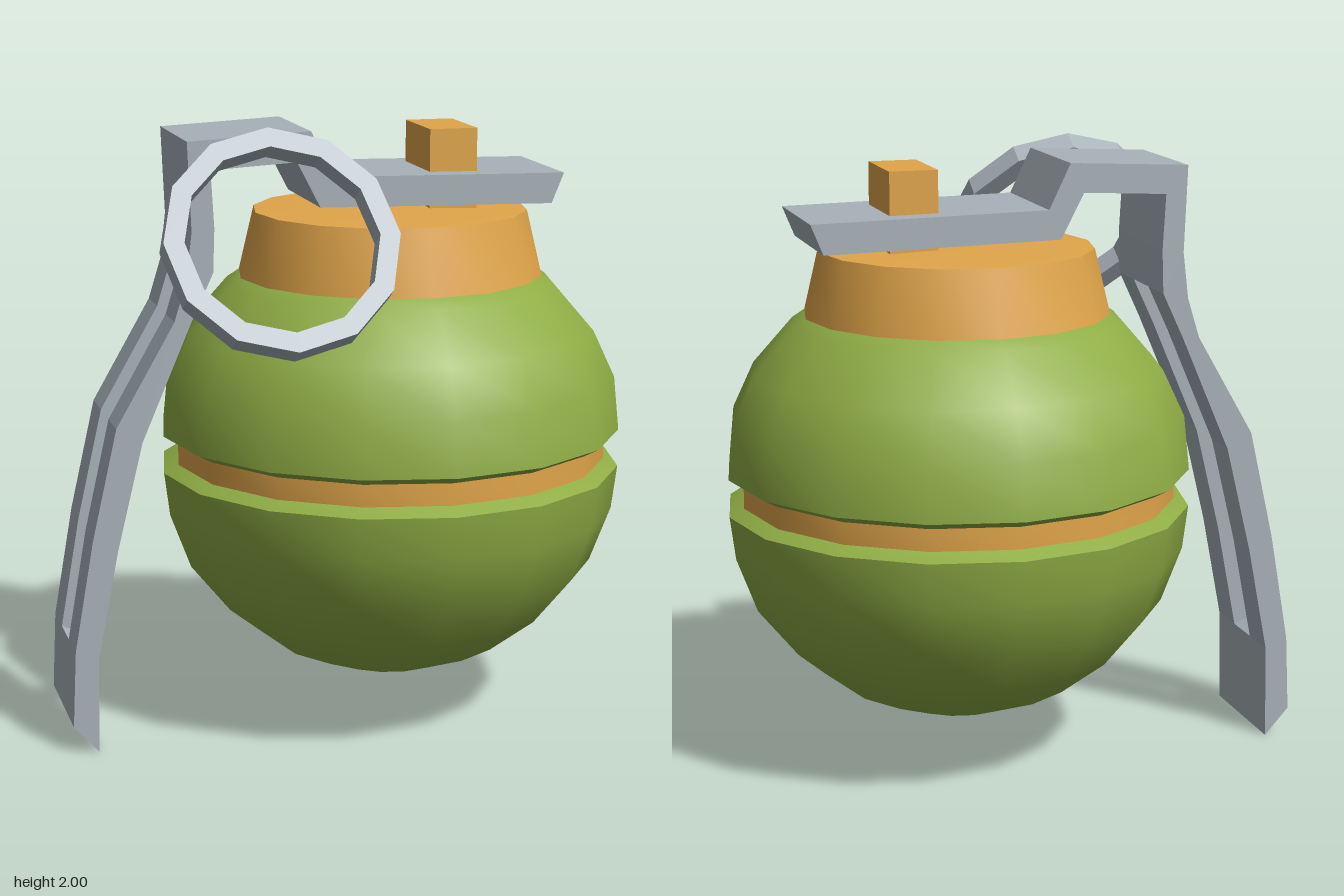
import * as THREE from 'three';
import { toCreasedNormals } from 'three/addons/utils/BufferGeometryUtils.js';

const BODY_X = 0.17;
const mat = (color, flatShading = false) => new THREE.MeshStandardMaterial({ color, flatShading });
const green = mat(0x8fad45);
const amber = mat(0xe0a54a);
const steel = mat(0xa8b2b9, true);
const pts = (list) => list.map(([x, y]) => new THREE.Vector2(x, y));

function add(parent, name, geometry, material) {
  const mesh = new THREE.Mesh(geometry, material);
  mesh.name = name;
  parent.add(mesh);
  return mesh;
}

// Turned part around the body axis, smooth except at sharp edges
function turned(parent, name, profile, material) {
  const geometry = toCreasedNormals(new THREE.LatheGeometry(pts(profile), 16), 0.6);
  add(parent, name, geometry, material).position.x = BODY_X;
}

// Side profile extruded from z0 to z1
function slab(parent, name, outline, z0, z1) {
  const geometry = new THREE.ExtrudeGeometry(new THREE.Shape(pts(outline)), { depth: z1 - z0, bevelEnabled: false });
  add(parent, name, geometry.translate(0, 0, z0), steel);
}

export function createModel() {
  const model = new THREE.Group();
  model.name = 'grenade';

  // Body: two faceted hemispheres with bevelled lips around a recessed band
  turned(model, 'lowerShell', [
    [0, 0.145], [0.2, 0.175], [0.385, 0.25], [0.54, 0.37], [0.67, 0.53],
    [0.737, 0.71], [0.755, 0.852], [0.705, 0.878],
  ], green);
  turned(model, 'upperShell', [
    [0.705, 0.947], [0.755, 0.974], [0.737, 1.15], [0.667, 1.3], [0.535, 1.452], [0.49, 1.482],
  ], green);
  turned(model, 'band', [[0.707, 0.87], [0.707, 0.955]], amber);

  // Neck with slightly domed top
  turned(model, 'collar', [[0.495, 1.48], [0.445, 1.69], [0, 1.71]], amber);

  // Peg through the lever
  const peg = add(model, 'peg', new THREE.BoxGeometry(0.157, 0.265, 0.27), amber);
  peg.position.set(0.343, 1.8225, 0);

  // Safety lever: bent top plate, slotted arm and solid tip
  const lever = new THREE.Group();
  lever.name = 'lever';
  model.add(lever);
  const outer = [[-0.545, 1.52], [-0.585, 1.39], [-0.775, 1.06], [-0.857, 0.7], [-0.92, 0.34]];
  const inner = [[-0.46, 1.54], [-0.53, 1.39], [-0.693, 1.01], [-0.778, 0.66], [-0.846, 0.31]];
  const W = 0.21, SLOT = 0.07;
  slab(lever, 'leverHead', [
    [0.69, 1.812], [-0.075, 1.825], [-0.145, 1.97], [-0.538, 1.95], [-0.527, 1.67], outer[0],
    inner[0], [-0.455, 1.68], [-0.465, 1.86], [-0.19, 1.875], [-0.115, 1.73], [0.65, 1.715],
  ], -W, W);
  const arm = [...outer, ...[...inner].reverse()];
  slab(lever, 'leverRailFront', arm, SLOT, W);
  slab(lever, 'leverRailBack', arm, -W, -SLOT);
  slab(lever, 'leverTip', [outer[4], [-0.932, 0.09], [-0.852, 0], inner[4]], -W, W);

  // Tilted twelve-sided pull ring with a rectangular section
  const R = 0.366, r = 0.302, h = 0.038;
  const ring = add(model, 'pullRing',
    new THREE.LatheGeometry(pts([[r, -h], [R, -h], [R, h], [r, h], [r, -h]]), 12), steel);
  ring.position.set(-0.31, 1.67, 0.483);
  ring.rotation.x = 1.01;

  return model;
}
